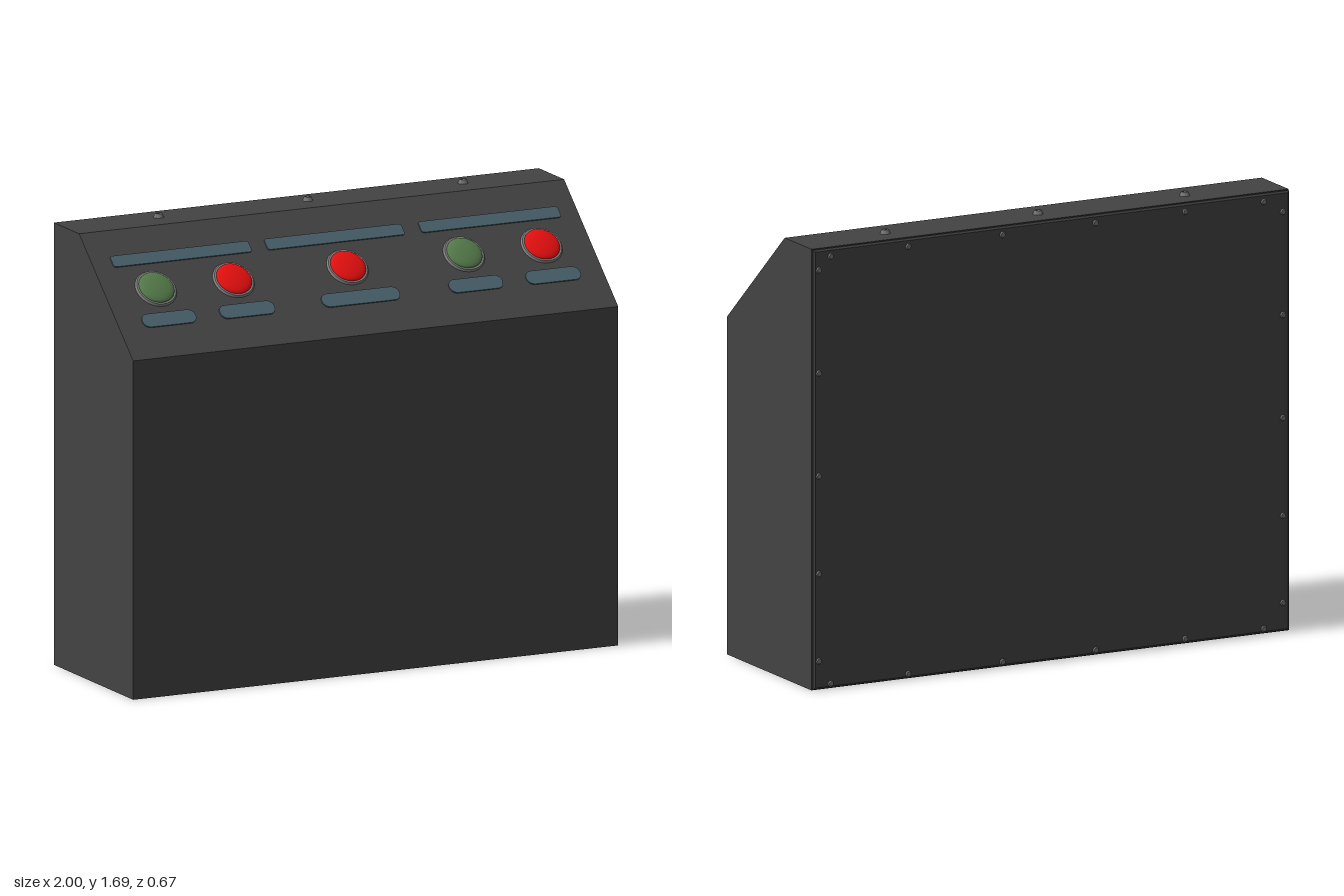
import * as THREE from 'three';

const mat = (name, color) => {
  const m = new THREE.MeshStandardMaterial({ color });
  m.name = name;
  return m;
};

export function createModel() {
  const casing = mat('dark grey casing', 0x434343);
  const plate = mat('slate label', 0x49606a);
  const red = mat('red lens', 0xf81111);
  const green = mat('green lens', 0x547a4a);
  const rim = mat('grey rim', 0x7d7f7d);
  const metal = mat('screw metal', 0x757575);

  const model = new THREE.Group();
  model.name = 'controlConsole';
  const add = (parent, name, geometry, material, x = 0, y = 0, z = 0) => {
    const mesh = new THREE.Mesh(geometry, material);
    mesh.name = name;
    mesh.position.set(x, y, z);
    parent.add(mesh);
    return mesh;
  };

  // Cabinet: side profile (depth, height) extruded across the width
  const front = 0.333, back = -0.316, top = 1.67, edgeY = 1.28, slopeZ = -0.11;
  const profile = new THREE.Shape([
    [front, 0], [front, edgeY], [slopeZ, top], [back, top], [back, 0],
  ].map(([z, y]) => new THREE.Vector2(-z, y)));
  const cabinet = new THREE.ExtrudeGeometry(profile, { depth: 2, bevelEnabled: false });
  cabinet.translate(0, 0, -1).rotateY(Math.PI / 2);
  add(model, 'cabinet', cabinet, casing);

  // Rear cover with a fine bevel
  const cover = new THREE.Shape([
    [-0.99, 0.01], [0.99, 0.01], [0.99, 1.66], [-0.99, 1.66],
  ].map(([x, y]) => new THREE.Vector2(x, y)));
  const coverGeo = new THREE.ExtrudeGeometry(cover, {
    depth: 0.004, bevelThickness: 0.005, bevelSize: 0.007, bevelSegments: 1,
  });
  add(model, 'rearCover', coverGeo, casing, 0, 0, back - 0.007);

  // Sloped panel: local y runs up the slope, local z points out of it
  const panel = new THREE.Group();
  panel.name = 'slopedPanel';
  panel.position.set(0, edgeY, front);
  panel.rotation.x = -Math.atan2(front - slopeZ, top - edgeY);
  model.add(panel);

  // Thin label with clipped or rounded ends
  const label = (name, x0, x1, y, h, r, segments) => {
    const w = (x1 - x0) / 2, s = new THREE.Shape();
    s.absarc(w - r, h / 2 - r, r, 0, Math.PI / 2);
    s.absarc(r - w, h / 2 - r, r, Math.PI / 2, Math.PI);
    s.absarc(r - w, r - h / 2, r, Math.PI, Math.PI * 1.5);
    s.absarc(w - r, r - h / 2, r, Math.PI * 1.5, Math.PI * 2);
    const g = new THREE.ExtrudeGeometry(s, { depth: 0.005, bevelEnabled: false, curveSegments: segments });
    add(panel, name, g, plate, (x0 + x1) / 2, y, 0);
  };
  for (const [a, b] of [[-0.92, -0.35], [-0.285, 0.28], [0.35, 0.925]])
    label('headingStrip', a, b, 0.447, 0.05, 0.01, 3);
  for (const [a, b] of [[-0.9, -0.68], [-0.58, -0.355], [-0.16, 0.16], [0.365, 0.585], [0.683, 0.905]])
    label('lampLabel', a, b, 0.168, 0.06, 0.028, 4);

  // Lamps: flat rim and a shallow domed lens
  const rimGeo = new THREE.CylinderGeometry(0.076, 0.081, 0.008, 32).rotateX(Math.PI / 2);
  const lensGeo = new THREE.SphereGeometry(0.069, 32, 8, 0, Math.PI * 2, 0, Math.PI / 2)
    .scale(1, 0.25, 1).rotateX(Math.PI / 2);
  for (const [x, color] of [[-0.79, green], [-0.47, red], [0, red], [0.48, green], [0.8, red]]) {
    const lamp = new THREE.Group();
    lamp.name = 'lamp';
    lamp.position.set(x, 0.308, 0);
    panel.add(lamp);
    add(lamp, 'rim', rimGeo, rim, 0, 0, 0.004);
    add(lamp, 'lens', lensGeo, color, 0, 0, 0.008);
  }

  // Top bolts with a slotted head
  const boltGeo = new THREE.CylinderGeometry(0.014, 0.02, 0.016, 12);
  const slotGeo = new THREE.BoxGeometry(0.02, 0.002, 0.005);
  for (const x of [-0.615, 0, 0.64]) {
    add(model, 'topBolt', boltGeo, metal, x, top + 0.007, -0.223);
    add(model, 'boltSlot', slotGeo, casing, x, top + 0.015, -0.223);
  }

  // Screws around the rear cover
  const screwGeo = new THREE.CylinderGeometry(0.009, 0.014, 0.01, 12).rotateX(-Math.PI / 2);
  const screw = (x, y) => add(model, 'rearScrew', screwGeo, metal, x, y, -0.329);
  for (const x of [-0.89, -0.56, -0.185, 0.205, 0.6, 0.925])
    for (const y of [0.02, 1.637]) screw(x, y);
  for (const y of [0.11, 0.44, 0.81, 1.2, 1.59])
    for (const x of [-0.97, 0.975]) screw(x, y);

  return model;
}
